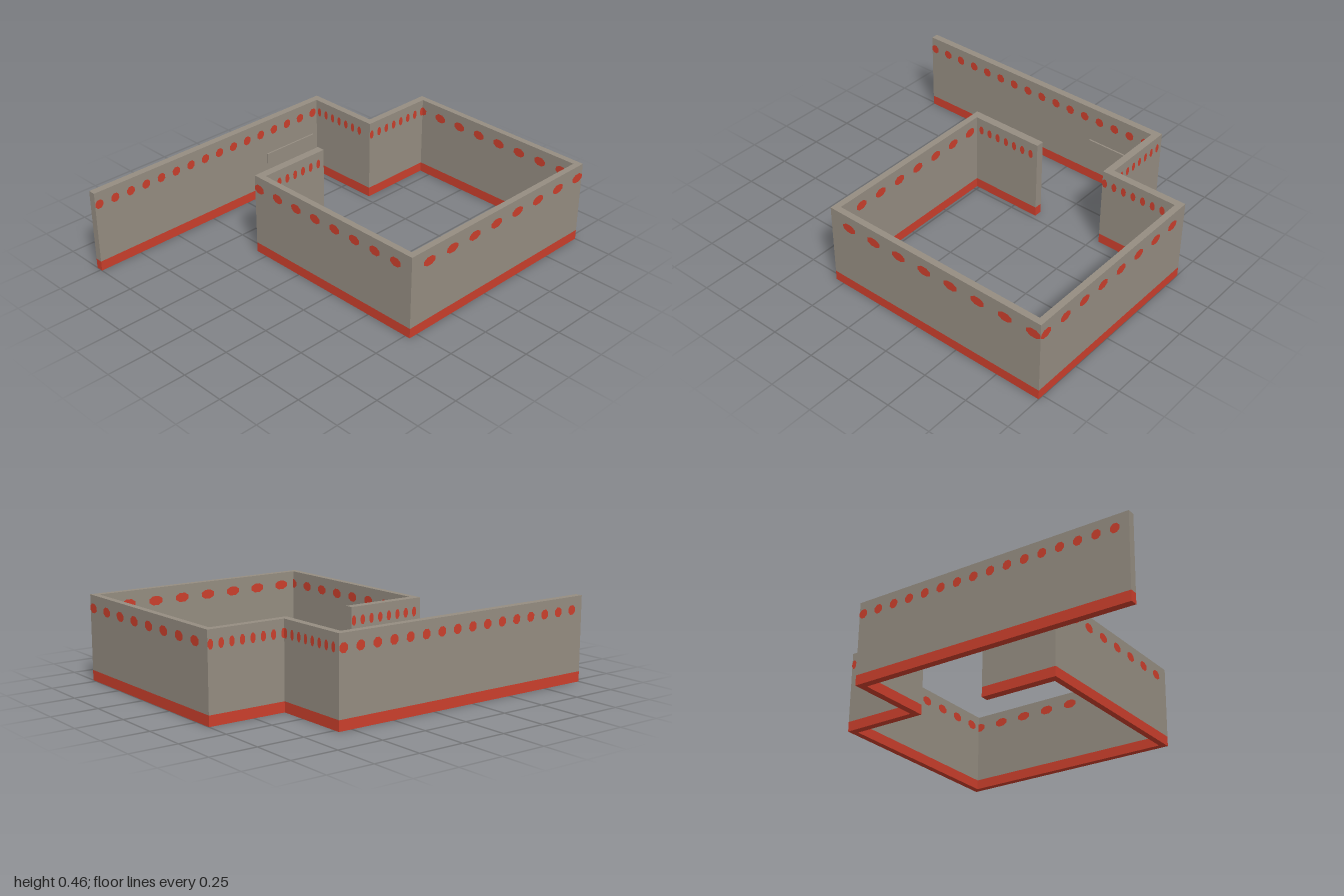
import * as THREE from 'three';
import { mergeGeometries } from 'three/addons/utils/BufferGeometryUtils.js';

const HEIGHT = 0.457, BASE = 0.055, DOT_Y = 0.388, DOT_H = 0.05;

// Wall footprint as x, z corners
const PLAN = [
  [-1, -0.78], [0.575, -0.78], [0.575, -0.355], [1, -0.355], [1, 0.78], [-0.3, 0.78],
  [-0.3, -0.32], [0.145, -0.32], [0.145, -0.275], [-0.265, -0.275], [-0.265, 0.745],
  [0.965, 0.745], [0.965, -0.315], [0.535, -0.315], [0.535, -0.74], [-1, -0.74],
];

// Painted rows: wall face from its left end to its right end, dot count, start at right end
const ROWS = [
  ['backWallInner', [-1, -0.74], [0.575, -0.74], 16],
  ['backWallOuter', [0.575, -0.78], [-1, -0.78], 16],
  ['returnWallOuter', [0.575, -0.355], [0.575, -0.78], 8],
  ['returnWallInner', [0.535, -0.78], [0.535, -0.355], 8],
  ['jogWallOuter', [1, -0.355], [0.535, -0.355], 8],
  ['jogWallInner', [0.535, -0.315], [1, -0.315], 8],
  ['leftWallOuter', [1, 0.78], [1, -0.355], 8],
  ['leftWallInner', [0.965, -0.355], [0.965, 0.78], 8],
  ['frontWallOuter', [-0.3, 0.78], [1, 0.78], 8, true],
  ['frontWallInner', [1, 0.745], [-0.3, 0.745], 8],
  ['rightWallOuter', [-0.3, -0.32], [-0.3, 0.78], 8],
  ['rightWallInner', [-0.265, 0.78], [-0.265, -0.32], 8],
  ['partitionOuter', [0.145, -0.32], [-0.3, -0.32], 8],
  ['partitionInner', [-0.3, -0.275], [0.145, -0.275], 8],
];

function wallBand(y0, y1) {
  const shape = new THREE.Shape(PLAN.map(([x, z]) => new THREE.Vector2(x, -z)));
  const geo = new THREE.ExtrudeGeometry(shape, { depth: y1 - y0, bevelEnabled: false });
  return geo.rotateX(-Math.PI / 2).translate(0, y0, 0);
}

// Row of flat eight-sided dots lying just off one wall face
function dotRow([x0, z0], [x1, z1], count, fromRight) {
  const along = new THREE.Vector3(x1 - x0, 0, z1 - z0);
  const length = along.length(), step = length / count;
  along.normalize();
  const up = new THREE.Vector3(0, 1, 0);
  const normal = new THREE.Vector3().crossVectors(along, up);
  const dots = [];
  for (let i = 0; i < count; i++) {
    const s = (i + 0.25) * step;
    dots.push(new THREE.CircleGeometry(0.5, 8).rotateZ(Math.PI / 8)
      .scale(step * 0.53, DOT_H * 1.06, 1)
      .translate(fromRight ? length - s : s, DOT_Y, 0.002));
  }
  const frame = new THREE.Matrix4().makeBasis(along, up, normal).setPosition(x0, 0, z0);
  return mergeGeometries(dots).applyMatrix4(frame);
}

export function createModel() {
  const model = new THREE.Group();
  model.name = 'walledEnclosure';
  const stone = new THREE.MeshStandardMaterial({ name: 'warmGrey', color: 0x958d81 });
  const red = new THREE.MeshStandardMaterial({ name: 'brickRed', color: 0xcb3f2c });

  const add = (name, geometry, material) => {
    const mesh = new THREE.Mesh(geometry, material);
    mesh.name = name;
    model.add(mesh);
    return mesh;
  };

  // Continuous wall with a red skirting
  add('skirting', wallBand(0, BASE), red);
  add('walls', wallBand(BASE, HEIGHT), stone);

  // Painted dots near the top of every face
  for (const [name, a, b, count, fromRight] of ROWS) {
    add(name + 'Dots', dotRow(a, b, count, fromRight), red);
  }

  // Blank raised plaque on the inner back wall
  add('plaque', new THREE.BoxGeometry(0.35, 0.06, 0.009), stone).position.set(0.325, 0.225, -0.7355);

  return model;
}
